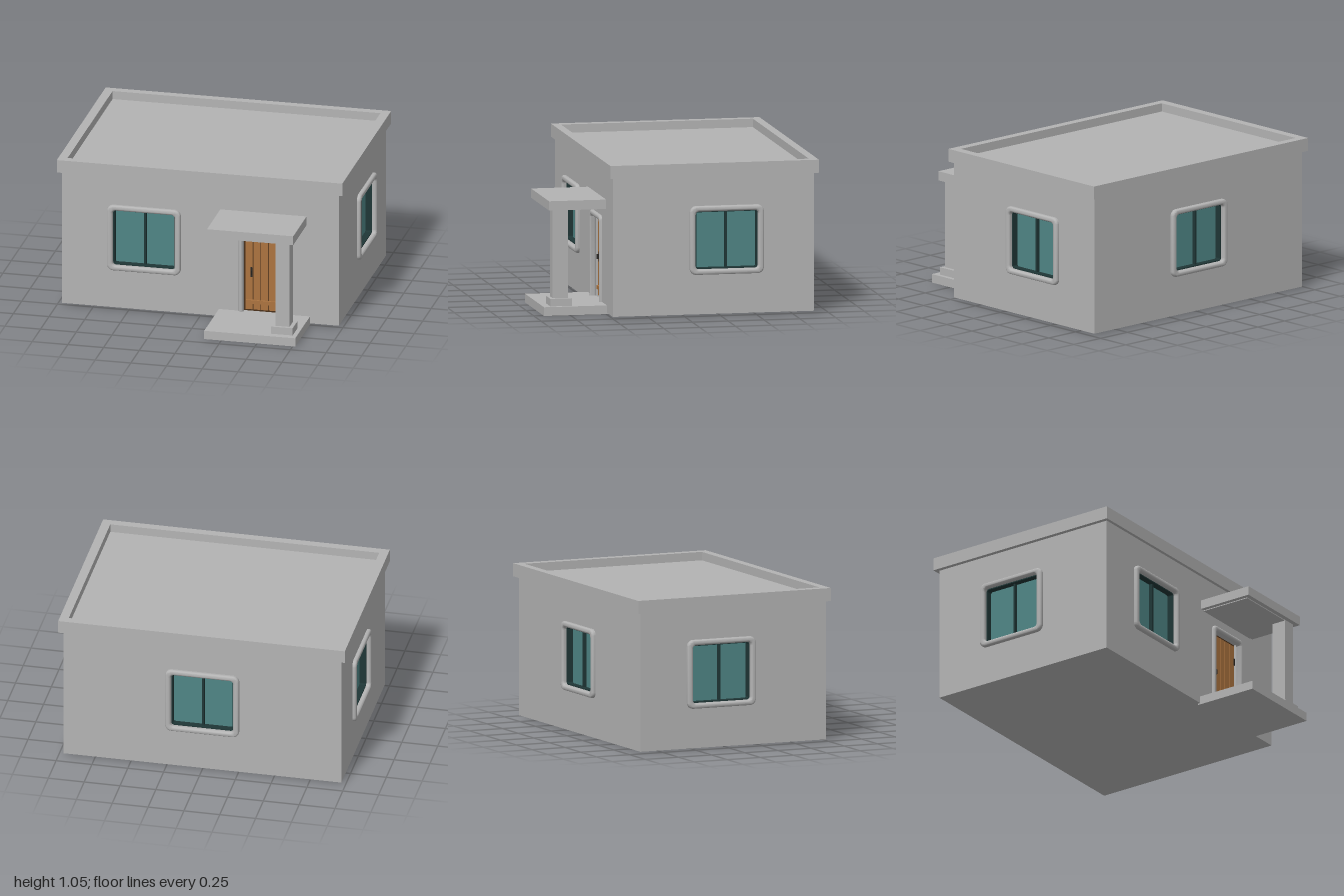
import * as THREE from 'three';
import { toCreasedNormals } from 'three/addons/utils/BufferGeometryUtils.js';

const material = (name, color) => {
  const m = new THREE.MeshStandardMaterial({ color });
  m.name = name;
  return m;
};

// Rounded rectangle traced counter-clockwise, centred on (cx, cy)
function roundRect(target, cx, cy, w, h, r) {
  const l = cx - w / 2, b = cy - h / 2, R = l + w, t = b + h;
  target.moveTo(l + r, b);
  target.lineTo(R - r, b);
  target.absarc(R - r, b + r, r, -Math.PI / 2, 0);
  target.lineTo(R, t - r);
  target.absarc(R - r, t - r, r, 0, Math.PI / 2);
  target.lineTo(l + r, t);
  target.absarc(l + r, t - r, r, Math.PI / 2, Math.PI);
  target.lineTo(l, b + r);
  target.absarc(l + r, b + r, r, Math.PI, Math.PI * 1.5);
  return target;
}

function rect(target, x0, y0, x1, y1) {
  target.moveTo(x0, y0);
  target.lineTo(x1, y0);
  target.lineTo(x1, y1);
  target.lineTo(x0, y1);
  target.closePath();
  return target;
}

// Extrusion whose front face ends at z = front
function extrude(shape, depth, front) {
  const g = new THREE.ExtrudeGeometry(shape, { depth, bevelEnabled: false, curveSegments: 6 });
  return g.translate(0, 0, front - depth);
}

// Trim with softly rounded edges, front at z = front
function softTrim(shape, front) {
  const g = new THREE.ExtrudeGeometry(shape, {
    depth: 0.01, bevelThickness: 0.018, bevelSize: 0.014, bevelOffset: -0.014,
    bevelSegments: 4, curveSegments: 6,
  });
  return toCreasedNormals(g.translate(0, 0, front - 0.028), 0.7);
}

export function createModel() {
  const concrete = material('concrete', 0xb3b3b3);
  const glassMat = material('teal glass', 0x4f8585);
  const sashMat = material('dark sash', 0x1f3636);
  const wood = material('door wood', 0xac7440);
  const groove = material('door groove', 0x4a301a);
  const iron = material('dark iron', 0x2b2825);

  const model = new THREE.Group();
  model.name = 'house';

  const add = (parent, name, geometry, mat) => {
    const mesh = new THREE.Mesh(geometry, mat);
    mesh.name = name;
    parent.add(mesh);
    return mesh;
  };
  // Box given by its minimum and maximum corners
  const box = (parent, name, mat, a, b) => {
    const mesh = add(parent, name, new THREE.BoxGeometry(b[0] - a[0], b[1] - a[1], b[2] - a[2]), mat);
    mesh.position.set((a[0] + b[0]) / 2, (a[1] + b[1]) / 2, (a[2] + b[2]) / 2);
    return mesh;
  };

  const X = 0.97, FRONT = 0.495, BACK = -0.905, MID = -0.205;
  const BOTTOM = 0.01, TOP = 0.965, THICK = 0.1, WIN_Y = 0.52;

  // Two-pane window; local z = 0 is the wall face
  function addWindow(parent, x) {
    const w = new THREE.Group();
    w.name = 'window';
    w.position.set(x, WIN_Y, 0);
    const frame = roundRect(new THREE.Shape(), 0, 0, 0.516, 0.474, 0.045);
    frame.holes.push(roundRect(new THREE.Path(), 0, 0, 0.434, 0.398, 0.022));
    add(w, 'windowFrame', softTrim(frame, 0.027), concrete);
    const sash = rect(new THREE.Shape(), -0.225, -0.207, 0.225, 0.207);
    sash.holes.push(roundRect(new THREE.Path(), 0, 0, 0.42, 0.384, 0.012));
    add(w, 'windowSash', extrude(sash, 0.055, -0.005), sashMat);
    box(w, 'windowMullion', sashMat, [-0.007, -0.2, -0.06], [0.007, 0.2, -0.025]);
    box(w, 'windowGlass', glassMat, [-0.22, -0.2, -0.058], [0.22, 0.2, -0.05]);
    parent.add(w);
  }

  // Wall panel with openings, outer face at local z = 0
  function addWall(name, halfWidth, windowX, position, turn, doorway) {
    const wall = new THREE.Group();
    wall.name = name;
    const shape = rect(new THREE.Shape(), -halfWidth, BOTTOM, halfWidth, TOP);
    shape.holes.push(rect(new THREE.Path(), windowX - 0.225, WIN_Y - 0.207, windowX + 0.225, WIN_Y + 0.207));
    if (doorway) shape.holes.push(rect(new THREE.Path(), 0.295, 0.05, 0.59, 0.63));
    add(wall, name + 'Panel', extrude(shape, THICK, 0), concrete);
    addWindow(wall, windowX);
    wall.position.set(...position);
    wall.rotation.y = turn;
    model.add(wall);
    return wall;
  }

  const sideHalf = (FRONT - BACK) / 2 - THICK;
  const frontWall = addWall('frontWall', X, -0.394, [0, 0, FRONT], 0, true);
  addWall('backWall', X, 0, [0, 0, BACK], Math.PI);
  addWall('leftWall', sideHalf, 0.092, [X, 0, MID], Math.PI / 2);
  addWall('rightWall', sideHalf, -0.092, [-X, 0, MID], -Math.PI / 2);
  box(model, 'floor', concrete, [-X + THICK, BOTTOM, BACK + THICK], [X - THICK, 0.04, FRONT - THICK]);

  // Flat roof with raised parapet
  const parapet = rect(new THREE.Shape(), -1, -0.726, 1, 0.726);
  parapet.holes.push(rect(new THREE.Path(), -0.938, -0.668, 0.938, 0.668));
  const parapetMesh = add(model, 'parapet', extrude(parapet, 0.09, 0).rotateX(-Math.PI / 2), concrete);
  parapetMesh.position.set(0, 1.055, MID - 0.003);
  box(model, 'roofDeck', concrete, [-0.939, 0.966, -0.877], [0.939, 0.997, 0.461]);

  // Door with planks, rail and ironwork
  const door = new THREE.Group();
  door.name = 'door';
  frontWall.add(door);
  const surround = new THREE.Shape();
  surround.moveTo(0.27, 0.045);
  surround.lineTo(0.303, 0.045);
  surround.lineTo(0.303, 0.603);
  surround.absarc(0.318, 0.603, 0.015, Math.PI, Math.PI / 2, true);
  surround.lineTo(0.567, 0.618);
  surround.absarc(0.567, 0.603, 0.015, Math.PI / 2, 0, true);
  surround.lineTo(0.582, 0.045);
  surround.lineTo(0.613, 0.045);
  surround.lineTo(0.613, 0.62);
  surround.absarc(0.578, 0.62, 0.035, 0, Math.PI / 2);
  surround.lineTo(0.305, 0.655);
  surround.absarc(0.305, 0.62, 0.035, Math.PI / 2, Math.PI);
  surround.closePath();
  add(door, 'doorFrame', softTrim(surround, 0.02), concrete);
  box(door, 'doorBacking', groove, [0.295, 0.05, -0.07], [0.59, 0.63, -0.045]);
  for (let i = 0; i < 5; i++) {
    const x = 0.309 + i * 0.0545;
    box(door, 'doorPlank', wood, [x, 0.064, -0.05], [x + 0.048, 0.614, -0.035]);
  }
  box(door, 'doorRail', wood, [0.314, 0.108, -0.036], [0.572, 0.134, -0.022]);
  box(door, 'handlePlate', iron, [0.345, 0.3, -0.036], [0.357, 0.37, -0.03]);
  box(door, 'handleGrip', iron, [0.347, 0.318, -0.031], [0.355, 0.352, -0.015]);
  for (const y of [0.2, 0.495]) {
    box(door, 'hinge', iron, [0.57, y - 0.025, -0.036], [0.58, y + 0.025, -0.028]);
  }

  // Porch: step, single post on a plinth, and canopy
  const porch = new THREE.Group();
  porch.name = 'porch';
  model.add(porch);
  box(porch, 'porchStep', concrete, [0.13, 0, FRONT - 0.02], [0.768, 0.06, 0.932]);
  box(porch, 'postPlinth', concrete, [0.588, 0.059, 0.733], [0.738, 0.112, 0.882]);
  box(porch, 'porchPost', concrete, [0.613, 0.11, 0.755], [0.711, 0.725, 0.86]);
  box(porch, 'canopySoffit', concrete, [0.17, 0.716, FRONT - 0.01], [0.711, 0.726, 0.859]);
  box(porch, 'canopy', concrete, [0.14, 0.722, FRONT - 0.01], [0.744, 0.786, 0.892]);

  return model;
}
